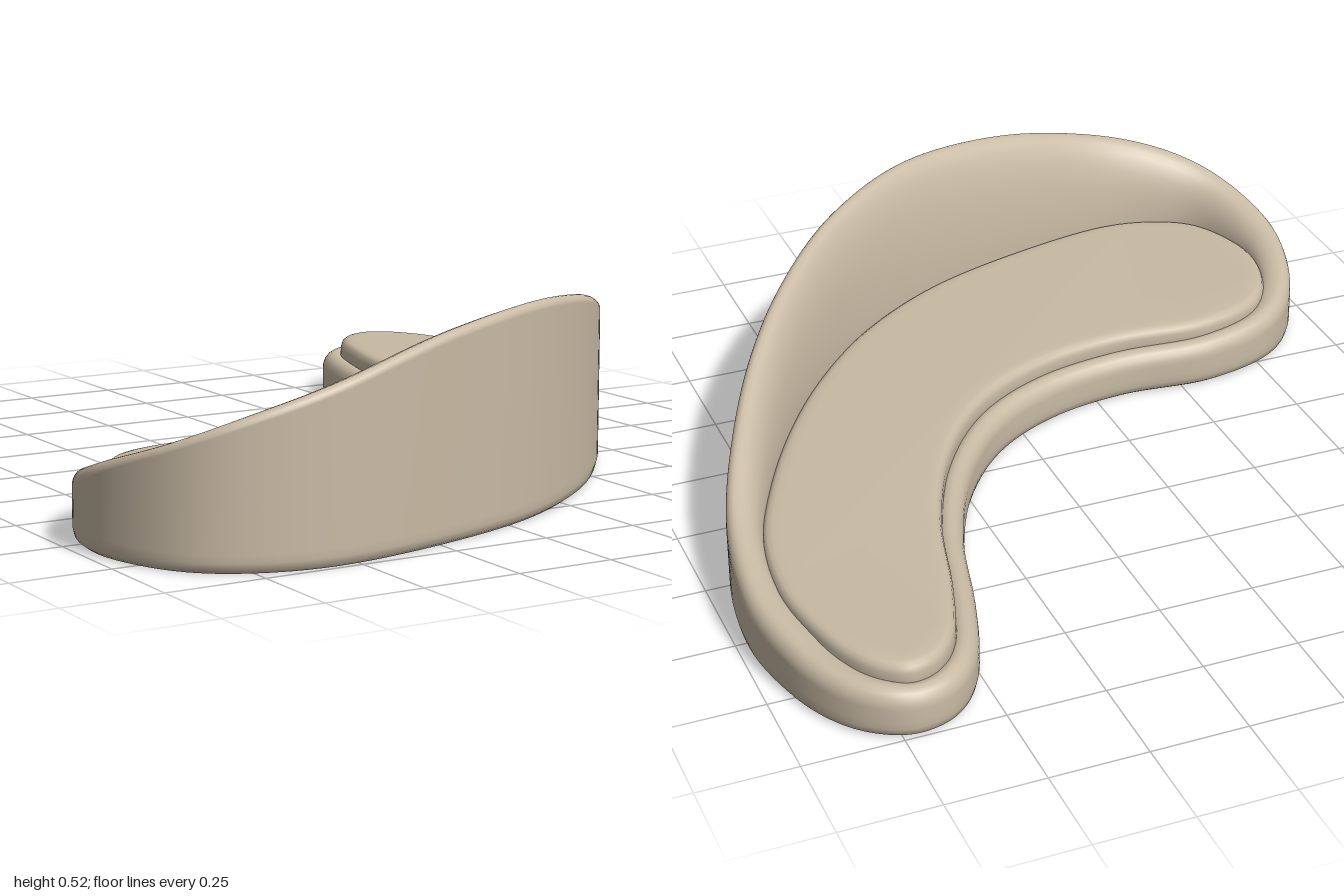
import * as THREE from 'three';

// Plan outline, clockwise from the narrow end: [x, z, wall height, wall thickness]
const OUTLINE = [
  [0.70, -1.0, 0.12, 0.06], [0.79, -0.975, 0.125, 0.065], [0.875, -0.895, 0.13, 0.075],
  [0.94, -0.755, 0.14, 0.085], [0.978, -0.54, 0.163, 0.09], [0.95, -0.30, 0.205, 0.09],
  [0.868, -0.07, 0.28, 0.095], [0.735, 0.19, 0.37, 0.10], [0.565, 0.43, 0.445, 0.10],
  [0.35, 0.65, 0.50, 0.10], [0.08, 0.83, 0.522, 0.105], [-0.24, 0.945, 0.49, 0.11],
  [-0.55, 1.0, 0.415, 0.11], [-0.77, 0.955, 0.35, 0.11], [-0.91, 0.835, 0.285, 0.105],
  [-0.978, 0.62, 0.215, 0.10], [-0.93, 0.41, 0.16, 0.085], [-0.795, 0.26, 0.135, 0.065],
  [-0.58, 0.197, 0.125, 0.06], [-0.33, 0.212, 0.12, 0.06], [-0.10, 0.17, 0.12, 0.06],
  [0.10, 0.055, 0.12, 0.06], [0.26, -0.145, 0.12, 0.06], [0.375, -0.40, 0.12, 0.06],
  [0.445, -0.66, 0.12, 0.06], [0.515, -0.86, 0.12, 0.06], [0.60, -0.965, 0.12, 0.06],
];
const STEPS = 216;

// Sample the outline with inward directions
function sampleStations() {
  const loop = (f) => new THREE.CatmullRomCurve3(OUTLINE.map(f), true, 'catmullrom', 0.5);
  const path = loop(([x, z, h]) => new THREE.Vector3(x, h, z));
  const thickness = loop((p) => new THREE.Vector3(p[3], 0, 0));
  return Array.from({ length: STEPS }, (_, i) => {
    const t = i / STEPS, p = path.getPoint(t), d = path.getTangent(t);
    const len = Math.hypot(d.x, d.z);
    return { x: p.x, z: p.z, h: p.y, t: thickness.getPoint(t).x, nx: -d.z / len, nz: d.x / len };
  });
}

// Sweep a profile of [inset, y] points round the outline, optionally capped at both ends
function sweep(stations, profile, capped) {
  const positions = [], index = [];
  let rows = 0;
  for (const s of stations) {
    const pts = profile(s);
    rows = pts.length;
    for (const [inset, y] of pts) positions.push(s.x + s.nx * inset, y, s.z + s.nz * inset);
  }
  const n = stations.length;
  for (let i = 0; i < n; i++) {
    const a0 = i * rows, b0 = ((i + 1) % n) * rows;
    for (let j = 0; j < (capped ? rows - 1 : rows); j++) {
      const k = (j + 1) % rows;
      index.push(a0 + j, a0 + k, b0 + j, a0 + k, b0 + k, b0 + j);
    }
  }
  if (capped) {
    for (const [row, up] of [[0, false], [rows - 1, true]]) {
      const ring = stations.map((_, i) => {
        const o = (i * rows + row) * 3;
        return new THREE.Vector2(positions[o], positions[o + 2]);
      });
      for (const [a, b, c] of THREE.ShapeUtils.triangulateShape(ring, [])) {
        const ab = ring[b].clone().sub(ring[a]), ac = ring[c].clone().sub(ring[a]);
        const facesUp = ab.cross(ac) < 0;
        const tri = facesUp === up ? [a, b, c] : [a, c, b];
        index.push(...tri.map((i) => i * rows + row));
      }
    }
  }
  const geometry = new THREE.BufferGeometry();
  geometry.setAttribute('position', new THREE.Float32BufferAttribute(positions, 3));
  geometry.setIndex(index);
  geometry.computeVertexNormals();
  return geometry;
}

// Wall: upright outside, rounded crest, inside curving down to the seat, open below
function shellProfile({ h, t }) {
  const low = 1 - THREE.MathUtils.smoothstep(h, 0.13, 0.27);
  const crest = 0.02 + 0.015 * low, round = 0.02 + 0.025 * low;
  const drop = h - Math.min(0.13, h - 0.015);
  const pts = [[0.015, 0], [0.004, 0.008], [0, 0.025], [0, 0.045]];
  for (let i = 0; i <= 5; i++) {
    const a = (i / 5) * Math.PI / 2;
    pts.push([crest * (1 - Math.cos(a)), h - round * (1 - Math.sin(a))]);
  }
  for (let i = 1; i <= 10; i++) {
    const a = (i / 10) * Math.PI / 2;
    pts.push([crest + (t - crest) * Math.sin(a), h - drop * (1 - Math.cos(a))]);
  }
  // Underside of the wall, stepping in toward the seat base
  pts.push([t - 0.005, 0.1], [t * 0.72, 0.065], [t * 0.45, 0.02], [0.022, 0.001]);
  return pts;
}

// Cushion with a rounded top edge and a short skirt round its recessed underside
function seatProfile({ t }) {
  return [
    [t + 0.015, 0.135], [t + 0.008, 0.13], [t + 0.004, 0.1], [t - 0.008, 0.1], [t - 0.006, 0.14],
    [t - 0.001, 0.154], [t + 0.008, 0.161], [t + 0.02, 0.164], [t + 0.04, 0.165],
  ];
}

export function createModel() {
  const group = new THREE.Group();
  group.name = 'curvedSofa';
  const stations = sampleStations();
  const add = (name, geometry) => {
    const material = new THREE.MeshStandardMaterial({ color: 0xc8baa4, side: THREE.DoubleSide });
    const mesh = new THREE.Mesh(geometry, material);
    mesh.name = name;
    group.add(mesh);
  };
  add('backrestShell', sweep(stations, shellProfile, false));
  add('seatCushion', sweep(stations, seatProfile, true));
  return group;
}
